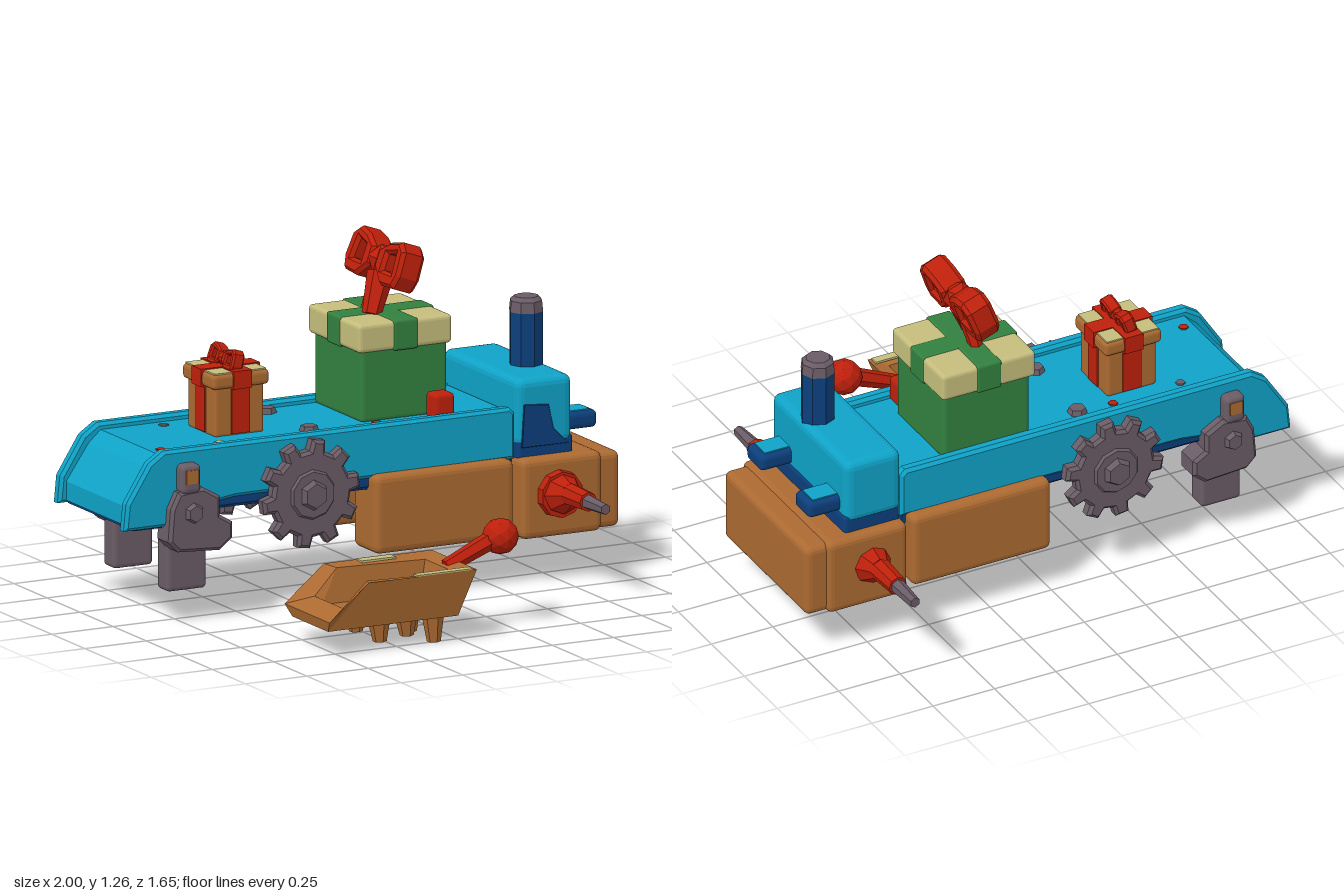
import * as THREE from 'three';
import { RoundedBoxGeometry } from 'three/addons/geometries/RoundedBoxGeometry.js';

const mat = (name, color) => new THREE.MeshStandardMaterial({ name, color, flatShading: true });
const V = (x, y, z) => new THREE.Vector3(x, y, z);

export function createModel() {
  const cyan = mat('cyan', 0x0fa3c8), navy = mat('navy', 0x0c3f7c), brown = mat('brown', 0xac6a31),
    red = mat('red', 0xbd200b), grey = mat('grey', 0x6a5c66), green = mat('green', 0x338040),
    beige = mat('beige', 0xc5bd7c);
  const root = new THREE.Group();
  const C = -0.185; // centre line of the machine in z

  const add = (name, geo, m, parent = root) => {
    const mesh = new THREE.Mesh(geo, m);
    mesh.name = name;
    parent.add(mesh);
    return mesh;
  };
  // rounded box from its limits
  const box = (name, m, x0, x1, y0, y1, z0, z1, r = 0.02, parent = root) => {
    const geo = r ? new RoundedBoxGeometry(x1 - x0, y1 - y0, Math.abs(z1 - z0), 2, r)
      : new THREE.BoxGeometry(x1 - x0, y1 - y0, Math.abs(z1 - z0));
    const mesh = add(name, geo, m, parent);
    mesh.position.set((x0 + x1) / 2, (y0 + y1) / 2, (z0 + z1) / 2);
    return mesh;
  };
  // tapered rod between two points
  const rod = (name, m, a, b, ra, rb, n = 8, parent = root) => {
    const mesh = add(name, new THREE.CylinderGeometry(rb, ra, a.distanceTo(b), n), m, parent);
    mesh.position.copy(a).lerp(b, 0.5);
    mesh.quaternion.setFromUnitVectors(V(0, 1, 0), b.clone().sub(a).normalize());
    return mesh;
  };
  // outline in x,y extruded from z0 to z1 with a small bevel
  const slab = (name, m, pts, z0, z1, b = 0.012, parent = root) => {
    const shape = new THREE.Shape(pts.map(p => new THREE.Vector2(p[0], p[1])));
    const near = Math.min(z0, z1), depth = Math.abs(z1 - z0);
    const geo = new THREE.ExtrudeGeometry(shape, {
      depth: depth - 2 * b, bevelEnabled: true, bevelThickness: b, bevelSize: b, bevelOffset: -b, bevelSegments: 1 });
    geo.translate(0, 0, near + b);
    return add(name, geo, m, parent);
  };

  // conveyor: sunken belt between two raised side rails
  slab('belt', cyan, [[0.59, 0.44], [0.59, 0.625], [-0.83, 0.625], [-0.88, 0.58], [-0.97, 0.45],
    [-0.97, 0.38], [-0.82, 0.38], [-0.7, 0.44]], C - 0.25, C + 0.25);
  for (const s of [1, -1]) {
    slab('sideRail', cyan, [[0.59, 0.46], [0.59, 0.63], [0.57, 0.65], [-0.84, 0.65], [-0.9, 0.61], [-0.99, 0.47],
      [-1, 0.37], [-0.82, 0.37], [-0.7, 0.43], [-0.55, 0.45]], C + s * 0.225, C + s * 0.275);
  }
  slab('underside', navy, [[0.59, 0.41], [0.59, 0.47], [-0.6, 0.47], [-0.84, 0.4], [-0.95, 0.4],
    [-0.95, 0.363], [-0.8, 0.363], [-0.62, 0.41]], C - 0.26, C + 0.26);
  for (const z of [-0.36, -0.04]) rod('beltBolt', grey, V(-0.18, 0.6, z), V(-0.18, 0.645, z), 0.045, 0.03, 6);
  box('button', red, 0.29, 0.37, 0.62, 0.72, -0.035, 0.045, 0.015);
  for (const [x, z, m] of [[-0.55, -0.03, beige], [0.09, -0.03, red], [-0.6, -0.36, grey], [-0.32, -0.37, red], [-0.79, -0.03, red]])
    rod('beltSpeck', m, V(x, 0.615, z), V(x, 0.63, z), 0.02, 0.018, 6);

  // parts on both sides of the machine
  const gearPts = [];
  for (let i = 0; i < 10; i++) {
    for (const [da, r] of [[-0.2, 0.16], [-0.13, 0.2], [0.13, 0.2], [0.2, 0.16]]) {
      const a = (i + 0.25) / 10 * Math.PI * 2 + da;
      gearPts.push([-0.26 + r * Math.cos(a), 0.435 + r * Math.sin(a)]);
    }
  }
  for (const s of [1, -1]) {
    const z = o => C + s * o;
    box('sideTank', brown, 0, 0.565, 0.18, 0.47, z(0.14), z(0.32), 0.025);
    // toothed wheel with hub
    slab('gearWheel', grey, gearPts, z(0.265), z(0.32));
    rod('gearRing', grey, V(-0.26, 0.435, z(0.31)), V(-0.26, 0.435, z(0.33)), 0.1, 0.085, 10);
    rod('gearHub', grey, V(-0.26, 0.435, z(0.32)), V(-0.26, 0.435, z(0.352)), 0.062, 0.045, 6);
    // support leg
    slab('legBracket', grey, [[-0.84, 0.32], [-0.8, 0.28], [-0.63, 0.27], [-0.58, 0.31], [-0.58, 0.37],
      [-0.63, 0.4], [-0.63, 0.47], [-0.7, 0.51], [-0.8, 0.5], [-0.83, 0.44]], z(0.21), z(0.315));
    box('legFoot', grey, -0.81, -0.65, 0.12, 0.34, z(0.16), z(0.245), 0.015);
    rod('legBolt', grey, V(-0.74, 0.42, z(0.3)), V(-0.74, 0.42, z(0.335)), 0.045, 0.03, 6);
    box('legKnob', grey, -0.79, -0.71, 0.49, 0.6, z(0.25), z(0.32), 0.02);
    box('legKnobPlate', brown, -0.775, -0.725, 0.53, 0.58, z(0.316), z(0.324), 0);
    // nozzle
    const g = o => -0.165 + s * o, y = 0.345;
    rod('nozzleBase', red, V(0.735, 0.33, g(0.3)), V(0.735, 0.33, g(0.345)), 0.09, 0.085, 10);
    rod('nozzleCone', red, V(0.735, 0.335, g(0.345)), V(0.735, y, g(0.41)), 0.075, 0.04, 8);
    rod('nozzleBarrel', red, V(0.735, y, g(0.41)), V(0.735, y, g(0.54)), 0.042, 0.036, 8);
    rod('nozzleTip', grey, V(0.735, y, g(0.54)), V(0.735, y, g(0.67)), 0.028, 0.02, 6);
  }
  rod('axle', grey, V(-0.26, 0.4, C - 0.27), V(-0.26, 0.4, C + 0.27), 0.03, 0.03, 6);

  // front block
  box('frontBlock', brown, 0.59, 0.915, 0.17, 0.465, -0.515, 0.15, 0.025);
  box('frontBumper', brown, 0.88, 0.995, 0.175, 0.455, -0.495, 0.135, 0.025);

  // cab, pegs and chimney
  box('cab', cyan, 0.595, 0.82, 0.5, 0.75, -0.475, 0.1, 0.03);
  box('cabBase', navy, 0.6, 0.825, 0.44, 0.53, -0.47, 0.095, 0.015);
  slab('cabPanel', navy, [[0.61, 0.5], [0.8, 0.5], [0.74, 0.56], [0.72, 0.65], [0.62, 0.66]], 0.096, 0.104, 0.002);
  for (const z of [0, -0.365]) {
    box('cabPeg', navy, 0.8, 0.945, 0.53, 0.595, z - 0.058, z + 0.058, 0.02);
    box('cabPegTop', cyan, 0.82, 0.92, 0.592, 0.599, z - 0.04, z + 0.04, 0);
  }
  rod('chimney', navy, V(0.75, 0.72, -0.125), V(0.75, 0.945, -0.125), 0.063, 0.063, 8);
  rod('chimneyCap', grey, V(0.75, 0.945, -0.125), V(0.75, 0.985, -0.125), 0.064, 0.06, 8);
  rod('chimneyTop', grey, V(0.75, 0.985, -0.125), V(0.75, 1, -0.125), 0.06, 0.045, 8);

  // bow: two pierced loops and a knot
  const bow = (name, x, y, z, size, lean) => {
    const group = new THREE.Group();
    group.name = name;
    for (const s of [1, -1]) {
      const shape = new THREE.Shape([[0.02, -0.03], [0.09, -0.085], [0.18, -0.08], [0.2, -0.03], [0.19, 0.06],
        [0.15, 0.09], [0.08, 0.075], [0.02, 0.04]].map(p => new THREE.Vector2(s * p[0], p[1])));
      shape.holes.push(new THREE.Path([[0.08, -0.03], [0.08, 0.03], [0.14, 0.045], [0.15, -0.03]]
        .map(p => new THREE.Vector2(s * p[0], p[1]))));
      const geo = new THREE.ExtrudeGeometry(shape, { depth: 0.07, bevelEnabled: true, bevelThickness: 0.015,
        bevelSize: 0.012, bevelOffset: -0.012, bevelSegments: 1 });
      geo.translate(0, 0, -0.035);
      add('bowLoop', geo.rotateY(Math.PI / 2), red, group);
    }
    add('bowKnot', new THREE.IcosahedronGeometry(0.062, 0), red, group);
    group.position.set(x, y, z);
    group.rotation.z = lean;
    group.scale.setScalar(size);
    root.add(group);
  };

  // large gift
  box('largeGift', green, 0.045, 0.395, 0.62, 0.9, -0.42, -0.06, 0.015);
  box('largeGiftLid', beige, 0.03, 0.41, 0.88, 0.985, -0.44, -0.05, 0.015);
  box('lidRibbonAcross', green, 0.026, 0.414, 0.876, 0.989, -0.295, -0.195, 0.01);
  box('lidRibbonAlong', green, 0.17, 0.27, 0.876, 0.989, -0.444, -0.046, 0.01);
  rod('bowStem', red, V(0.16, 0.98, -0.2), V(0.22, 1.12, -0.24), 0.035, 0.05, 6);
  rod('bowTail', red, V(0.2, 0.98, -0.3), V(0.22, 1.12, -0.25), 0.025, 0.035, 6);
  bow('largeBow', 0.235, 1.165, -0.24, 1, -0.35);

  // small gift
  box('smallGift', brown, -0.525, -0.325, 0.62, 0.82, -0.32, -0.11, 0.012);
  box('smallGiftLid', brown, -0.54, -0.31, 0.8, 0.855, -0.335, -0.095, 0.015);
  box('smallLidTop', beige, -0.53, -0.32, 0.852, 0.859, -0.325, -0.105, 0);
  for (const [grow, y0, y1] of [[0, 0.63, 0.82], [0.015, 0.797, 0.863]]) {
    box('ribbonAlong', red, -0.46, -0.385, y0, y1, -0.325 - grow, -0.105 + grow, 0);
    box('ribbonAcross', red, -0.53 - grow, -0.32 + grow, y0, y1, -0.25, -0.18, 0);
  }
  bow('smallBow', -0.425, 0.885, -0.215, 0.48, -0.3);

  // loose tray: four rings from outer bottom over the rim to the floor
  const ring = (xs, ys, zb, zf) => [
    ...[0, 1, 2].map(i => [xs[i], ys[i], zb]), ...[2, 1, 0].map(i => [xs[i], ys[i], zf])];
  const rings = [
    ring([-0.55, -0.4, -0.02], [0.1, 0.1, 0.1], 0.52, 0.79),
    ring([-0.56, -0.4, 0.04], [0.14, 0.27, 0.27], 0.48, 0.82),
    ring([-0.47, -0.38, -0.02], [0.17, 0.265, 0.255], 0.54, 0.77),
    ring([-0.45, -0.37, -0.05], [0.14, 0.14, 0.14], 0.56, 0.75)];
  const idx = [];
  for (let k = 0; k < 3; k++) for (let i = 0; i < 6; i++) {
    const a = k * 6 + i, b = k * 6 + (i + 1) % 6;
    idx.push(a, a + 6, b, b, a + 6, b + 6);
  }
  for (let i = 1; i < 5; i++) idx.push(0, i, i + 1, 18, 18 + i + 1, 18 + i);
  const trayGeo = new THREE.BufferGeometry();
  trayGeo.setAttribute('position', new THREE.Float32BufferAttribute(rings.flat(2), 3));
  trayGeo.setIndex(idx);
  trayGeo.computeVertexNormals();
  add('tray', trayGeo, brown);
  box('trayRimPatch', beige, -0.27, -0.13, 0.266, 0.274, 0.483, 0.525, 0);
  box('trayRimPatch', beige, -0.2, 0.025, 0.266, 0.274, 0.785, 0.818, 0);
  box('trayUnderPatch', navy, -0.3, -0.06, 0.094, 0.101, 0.62, 0.69, 0);
  // tray feet
  for (const z of [0.565, 0.745]) for (const [x, y] of [[-0.32, 0.03], [-0.21, 0.04], [-0.1, 0.005]])
    rod('trayFoot', brown, V(x, 0.12, z), V(x + 0.005, y, z), 0.043, 0.025, 6);
  // tray handle
  rod('handle', red, V(0.0, 0.25, 0.66), V(0.2, 0.335, 0.66), 0.028, 0.035, 6);
  add('handleBall', new THREE.IcosahedronGeometry(0.067, 1), red).position.set(0.222, 0.338, 0.66);

  return root;
}
